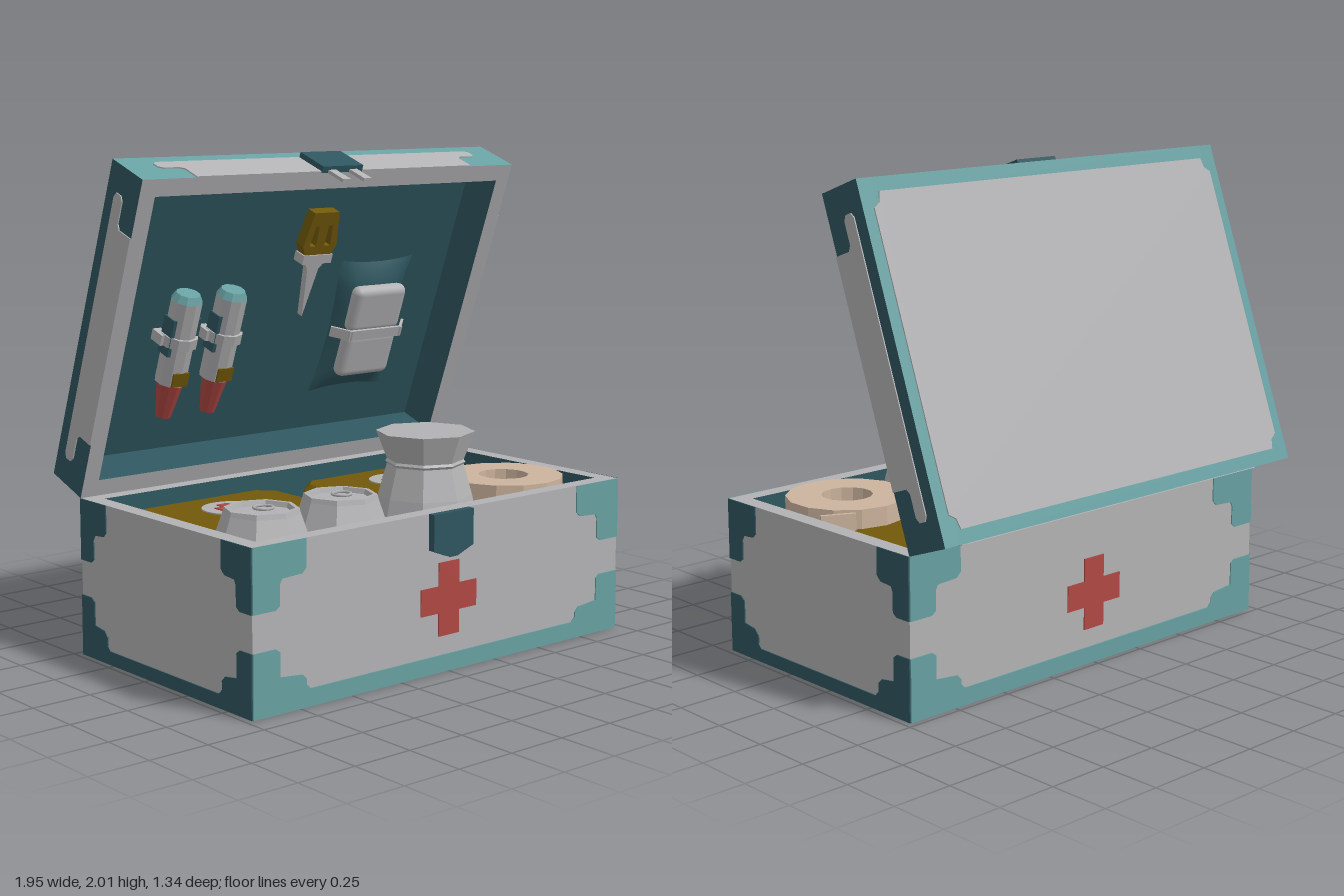
import * as THREE from 'three';
import { RoundedBoxGeometry } from 'three/addons/geometries/RoundedBoxGeometry.js';

const mat = (name, color) => Object.assign(new THREE.MeshStandardMaterial({ color }), { name });
const grey = mat('grey', 0xb2b2b4);
const teal = mat('light teal', 0x68a0a2);
const dark = mat('dark teal', 0x2e565f);
const deep = mat('deep teal', 0x0f3232);
const red = mat('red', 0xb04843);
const yellow = mat('yellow', 0x72590a);
const tan = mat('tan', 0xcdb49e);

function add(parent, name, geo, material, x = 0, y = 0, z = 0) {
  const mesh = new THREE.Mesh(geo, material);
  mesh.name = name;
  mesh.position.set(x, y, z);
  parent.add(mesh);
  return mesh;
}

function group(parent, name, x = 0, y = 0, z = 0) {
  const g = new THREE.Group();
  g.name = name;
  g.position.set(x, y, z);
  parent.add(g);
  return g;
}

// Faceted normals
function flat(geo) {
  const g = geo.index ? geo.toNonIndexed() : geo;
  g.computeVertexNormals();
  return g;
}

const box = (w, h, d) => new THREE.BoxGeometry(w, h, d);
const v2 = pts => pts.map(p => new THREE.Vector2(...p));
const lathe = (pts, n) => flat(new THREE.LatheGeometry(v2(pts), n));
const plate = (pts, depth = 0.005) =>
  new THREE.ExtrudeGeometry(new THREE.Shape(v2(pts)), { depth, bevelEnabled: false });
// Outline from its right half, listed bottom to top
const mirrored = half => [...half, ...half.slice().reverse().map(([x, y]) => [-x, y])];

const cross = (a, t) => [[t, -a], [t, -t], [a, -t], [a, t], [t, t], [t, a],
  [-t, a], [-t, t], [-a, t], [-a, -t], [-t, -t], [-t, -a]];

// Open tray facing +z, its opening at z = 0
function tray(parent, w, l, d, wall, floor, m) {
  for (const s of [-1, 1]) {
    const sides = s > 0 ? [m.side, m.inner] : [m.inner, m.side];
    add(parent, 'sideWall', box(wall, l, d), [...sides, m.end, m.end, m.rim, m.back],
      s * (w - wall) / 2, 0, -d / 2);
    const ends = s > 0 ? [m.end, m.inner] : [m.inner, m.end];
    add(parent, 'endWall', box(w - 2 * wall, wall, d), [m.inner, m.inner, ...ends, m.rim, m.back],
      0, s * (l - wall) / 2, -d / 2);
  }
  add(parent, 'trayFloor', box(w - 2 * wall, l - 2 * wall, floor),
    [m.inner, m.inner, m.inner, m.inner, m.floor, m.back], 0, 0, -d + floor / 2);
}

// Stepped trim along the bottom and in the upper corners of one case face
function faceTrim(parent, half, a, b, base, material) {
  add(parent, 'lowerTrim', plate(mirrored([[half, 0], [half, 0.25], [half - a + 0.02, 0.25],
    [half - a, 0.235], [half - a, 0.14], [half - b + 0.02, 0.13], [half - b, 0.11],
    [half - b, base + 0.02], [half - b - 0.02, base]])), material);
  for (const s of [-1, 1]) {
    add(parent, 'upperCornerTrim', plate([[half, 0.395], [half, 0.645], [half - b, 0.645],
      [half - b, 0.535], [half - b + 0.02, 0.515], [half - a - 0.01, 0.51], [half - a, 0.49],
      [half - a, 0.41], [half - a + 0.02, 0.395]].map(([x, y]) => [s * x, y])), material);
  }
}

function buildCase(root) {
  const shell = group(root, 'caseShell', 0, 0.645, 0.0875);
  shell.rotation.x = -Math.PI / 2;
  tray(shell, 1.94, 1.115, 0.645, 0.068, 0.03,
    { side: grey, end: grey, rim: grey, back: dark, inner: dark, floor: deep });
  for (let i = 0; i < 4; i++) {
    const wide = i % 2 === 0;
    const turn = group(root, 'caseFace', 0, 0, 0.0875);
    turn.rotation.y = i * Math.PI / 2;
    const face = group(turn, 'faceTrim', 0, 0, wide ? 0.5575 : 0.97);
    if (wide) {
      faceTrim(face, 0.97, 0.125, 0.25, 0.07, teal);
      add(face, 'redCross', plate(cross(0.148, 0.054)), red, 0, 0.295, 0);
    } else faceTrim(face, 0.5575, 0.09, 0.18, 0.055, dark);
  }
  // Front latch plate
  add(root, 'latchPlate', plate(mirrored([[0.02, 0.467], [0.105, 0.5], [0.105, 0.645]]), 0.03),
    dark, 0, 0, 0.645);
}

function buildLid(root) {
  const L = 1.37;
  const hinge = group(root, 'lid', 0, 0.645, -0.472);
  hinge.rotation.x = 0.35;
  const lid = group(hinge, 'lidShell', 0, L / 2, 0);
  tray(lid, 1.94, L, 0.21, 0.072, 0.036,
    { side: dark, end: teal, rim: grey, back: teal, inner: dark, floor: dark });
  // Grey inlay on the back, with notched corners
  const back = add(lid, 'backInlay', plate(mirrored([[0.88, -0.63], [0.89, -0.59], [0.92, -0.57],
    [0.92, 0.57], [0.89, 0.59], [0.88, 0.63]])), grey, 0, 0, -0.21);
  back.rotation.y = Math.PI;
  // Grey inlays on the four edges
  for (let i = 0; i < 4; i++) {
    const turn = group(lid, 'lidEdge');
    turn.rotation.z = i * Math.PI / 2;
    const [half, reach, a, b] = i % 2 ? [L / 2, 0.97, 0.24, 0.11] : [0.97, L / 2, 0.25, 0.14];
    add(turn, 'edgeInlay', plate(mirrored([[half - a, 0], [half - a, 0.08], [half - a + 0.02, 0.095],
      [half - b - 0.02, 0.095], [half - b, 0.11], [half - b, 0.14], [half - b - 0.02, 0.153]])),
      grey, 0, reach, 0).rotation.x = -Math.PI / 2;
  }
  // Hasp with two prongs
  add(hinge, 'hasp', box(0.21, 0.028, 0.155), dark, 0, L + 0.013, -0.073);
  for (const s of [-1, 1]) add(hinge, 'haspProng', box(0.04, 0.014, 0.11), grey, s * 0.055, L + 0.005, 0.048);
  buildLidContents(hinge);
}

function buildLidContents(lid) {
  // Two capped pens
  for (const x of [-0.56, -0.335]) {
    const pen = group(lid, 'pen', x, 0, -0.105);
    const tube = (name, r1, r0, y0, y1, m) =>
      add(pen, name, flat(new THREE.CylinderGeometry(r1, r0, y1 - y0, 10)), m, 0, (y0 + y1) / 2, 0);
    tube('penBody', 0.066, 0.066, 0.43, 0.795, grey);
    tube('penCap', 0.05, 0.066, 0.795, 0.825, teal);
    tube('penTip', 0.055, 0.03, 0.27, 0.43, red).scale.y = -1;
    pen.children.pop();
    tube('penTip', 0.058, 0.033, 0.27, 0.43, red);
    tube('penStrap', 0.078, 0.078, 0.6, 0.645, grey);
    add(pen, 'penLabel', box(0.078, 0.06, 0.008), yellow, 0, 0.465, 0.063);
    for (const s of [-1, 1]) {
      add(pen, 'penGrip', box(0.02, 0.16, 0.07), dark, s * 0.058, 0.64, 0);
      add(pen, 'strapFoot', box(0.04, 0.045, 0.07), grey, s * 0.068, 0.62, -0.035);
    }
  }
  // Pointed tool with slotted handle
  const tool = group(lid, 'pointedTool', 0.08, 0, -0.15);
  const handle = new THREE.Shape(v2(mirrored([[0.07, 0.95], [0.09, 0.99], [0.065, 1.14]])));
  for (const s of [-1, 1]) {
    handle.holes.push(new THREE.Path(v2([[0.022, 0.99], [0.055, 0.99], [0.045, 1.08], [0.025, 1.08]]
      .map(([x, y]) => [s * x, y]))));
  }
  add(tool, 'toolHandle', new THREE.ExtrudeGeometry(handle, { depth: 0.05, bevelEnabled: false }), yellow, 0, 0, -0.01);
  add(tool, 'toolCollar', box(0.155, 0.04, 0.06), grey, 0, 0.93, 0.015);
  add(tool, 'toolPoint', plate([[0, 0.66], [0.03, 0.88], [0.06, 0.915], [-0.06, 0.915], [-0.03, 0.88]], 0.03), grey);

  // Pillow with pinched corners, strapped under folded gauze
  const cushion = new THREE.PlaneGeometry(2, 2, 10, 10);
  const p = cushion.attributes.position;
  for (let i = 0; i < p.count; i++) {
    const x = p.getX(i), y = p.getY(i);
    p.setXYZ(i, x * 0.21 * (1 - 0.15 * (1 - y * y)), y * 0.315 * (1 - 0.06 * (1 - x * x)),
      0.004 + 0.075 * Math.sqrt(Math.max(0, (1 - x * x) * (1 - y * y))));
  }
  cushion.computeVertexNormals();
  const pad = group(lid, 'dressing', 0.475, 0.57, -0.174);
  add(pad, 'pillow', cushion, dark);
  for (const s of [-1, 1]) add(pad, 'gauze', new RoundedBoxGeometry(0.285, 0.21, 0.07, 2, 0.034), grey, 0, s * 0.108, 0.07);
  add(pad, 'gauzeStrap', box(0.3, 0.045, 0.012), grey, 0, 0, 0.108);
  for (const s of [-1, 1]) {
    const end = add(pad, 'strapEnd', box(0.1, 0.045, 0.012), grey, s * 0.17, 0, 0.08);
    end.rotation.y = s * 0.75;
  }
}

function buildCaseContents(root) {
  // Drink cans with a pull ring
  for (const x of [-0.69, -0.3]) {
    const can = group(root, 'can', x, 0, 0.345);
    add(can, 'canBody', lathe([[0, 0.03], [0.185, 0.03], [0.19, 0.57], [0.15, 0.685], [0.145, 0.705],
      [0.128, 0.705], [0.122, 0.685], [0, 0.685]], 8), grey);
    add(can, 'canBand', lathe([[0.191, 0.36], [0.194, 0.53]], 8), red);
    add(can, 'pullRing', new THREE.TorusGeometry(0.038, 0.006, 6, 14), grey, 0.04, 0.692, -0.04)
      .rotation.x = Math.PI / 2;
  }
  // Waisted jar
  add(root, 'jar', lathe([[0, 0.03], [0.22, 0.03], [0.22, 0.5], [0.19, 0.645], [0.155, 0.77], [0.162, 0.78],
    [0.155, 0.79], [0.2, 0.905], [0, 0.905]], 8), grey, 0.14, 0, 0.355);
  // Tape roll with loose end
  add(root, 'tapeRoll', lathe([[0.25, 0.42], [0.25, 0.66], [0.105, 0.66], [0.105, 0.42], [0.25, 0.42]], 14),
    tan, 0.615, 0, 0.325);
  add(root, 'tapeEnd', box(0.14, 0.22, 0.016), tan, 0.81, 0.54, 0.14).rotation.y = -0.45;
  // Yellow first-aid tins
  for (const s of [-1, 1]) {
    const tin = group(root, 'tin', s * 0.45, 0, -0.137);
    const outline = (w, d, c) => [[w - c, -d], [w, c - d], [w, d - c], [w - c, d],
      [c - w, d], [-w, d - c], [-w, c - d], [c - w, -d]];
    const body = new THREE.ExtrudeGeometry(new THREE.Shape(v2(outline(0.355, 0.247, 0.06))),
      { depth: 0.5, bevelThickness: 0.025, bevelSize: 0.025, bevelSegments: 1 });
    add(tin, 'tinBody', body, yellow, 0, 0.056, 0).rotation.x = -Math.PI / 2;
    add(tin, 'tinDisc', new THREE.CylinderGeometry(0.125, 0.125, 0.006, 20), grey, 0, 0.583, -0.02);
    add(tin, 'tinCross', plate(cross(0.07, 0.027), 0.004), red, 0, 0.586, -0.02).rotation.x = -Math.PI / 2;
  }
}

export function createModel() {
  const root = new THREE.Group();
  root.name = 'firstAidCase';
  buildCase(root);
  buildLid(root);
  buildCaseContents(root);
  return root;
}
